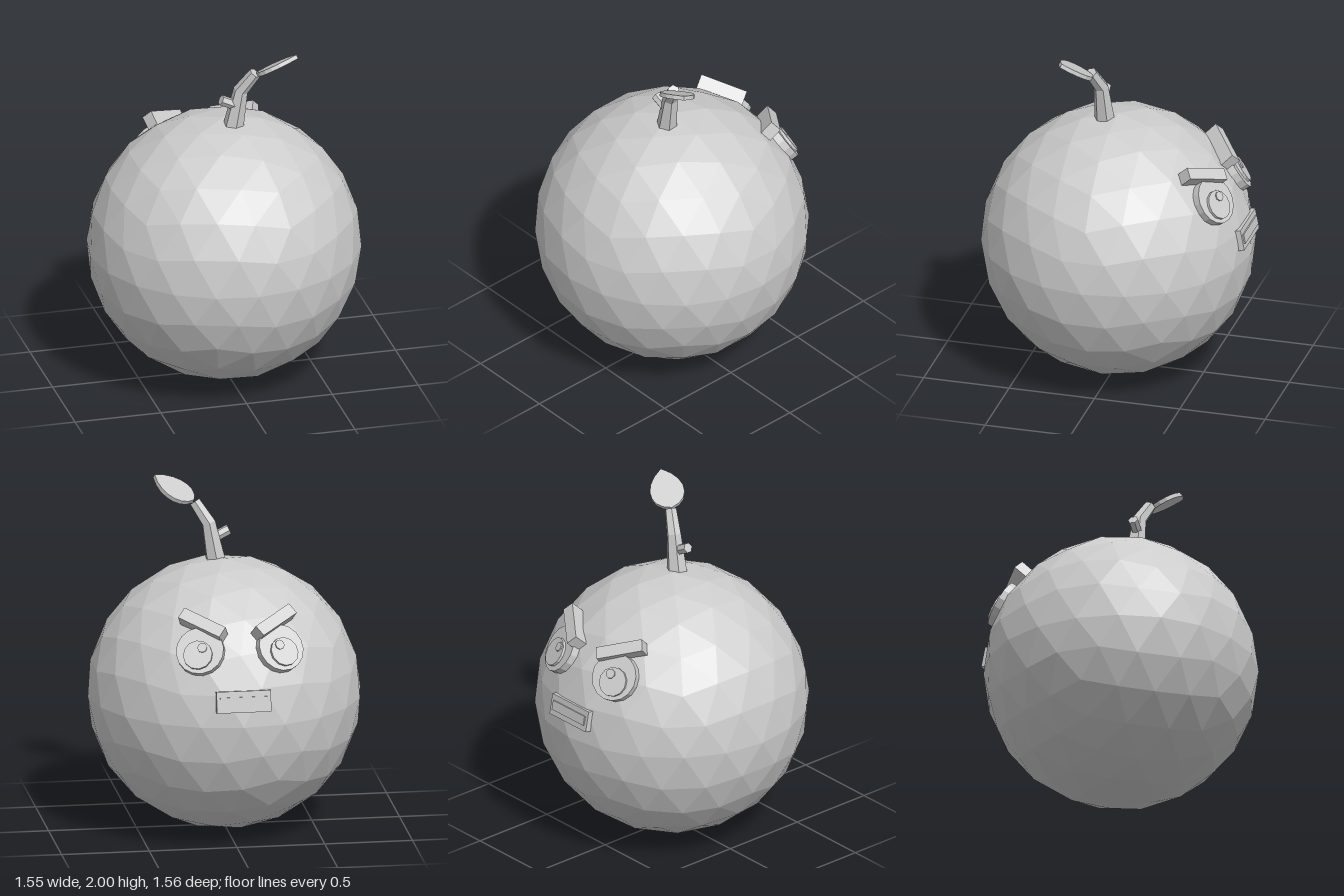
import * as THREE from 'three';

const V = (x, y, z) => new THREE.Vector3(x, y, z);
const R = 0.777; // body radius, also the height of its centre
const grey = new THREE.MeshStandardMaterial({ color: 0xcccccc });
grey.name = 'light grey';

// Faceted mesh: every face gets its own normal
function part(name, geometry, parent) {
  const g = geometry.index ? geometry.toNonIndexed() : geometry;
  g.computeVertexNormals();
  const mesh = new THREE.Mesh(g, grey);
  mesh.name = name;
  parent.add(mesh);
  return mesh;
}

// Group whose z axis is n and whose x axis follows u as closely as possible
function frame(name, position, n, u, parent) {
  const z = n.clone().normalize();
  const x = u.clone().addScaledVector(z, -u.dot(z)).normalize();
  const y = z.clone().cross(x);
  const group = new THREE.Group();
  group.name = name;
  group.quaternion.setFromRotationMatrix(new THREE.Matrix4().makeBasis(x, y, z));
  group.position.copy(position);
  parent.add(group);
  return group;
}

// Frame on the body surface in direction n, at the given distance from the centre
function onBody(name, n, distance, u, parent) {
  const position = n.clone().setLength(distance).add(V(0, R, 0));
  return frame(name, position, n, u, parent);
}

// Disc facing +z, from z0 to z1
function disc(name, radius, z0, z1, sides, x, y, parent) {
  const g = new THREE.CylinderGeometry(radius, radius, z1 - z0, sides);
  g.rotateX(Math.PI / 2).translate(x, y, (z0 + z1) / 2);
  return part(name, g, parent);
}

// Icosahedron with upright poles, split in half twice and pushed to the sphere
function bodyGeometry() {
  const c = 2 / Math.sqrt(5), h = 1 / Math.sqrt(5);
  const points = [0, 1, 0, 0, -1, 0], faces = [];
  for (let i = 0; i < 5; i++) {
    const a = i * Math.PI * 0.4, b = a + Math.PI * 0.2;
    points.push(c * Math.cos(a), h, c * Math.sin(a), c * Math.cos(b), -h, c * Math.sin(b));
    const up = 2 + 2 * i, low = up + 1;
    const up2 = 2 + 2 * ((i + 1) % 5), low2 = up2 + 1;
    faces.push(0, up2, up, up, up2, low, up2, low2, low, low, low2, 1);
  }
  const once = Array.from(new THREE.PolyhedronGeometry(points, faces, 1, 1).attributes.position.array);
  return new THREE.PolyhedronGeometry(once, once.slice(0, once.length / 3).map((_, i) => i), R, 1);
}

// Six-sided tapering branch through a list of [centre, radius]
function branchGeometry(path) {
  const last = path.length - 1;
  const g = new THREE.CylinderGeometry(1, 1, last, 6, last);
  const p = g.attributes.position, v = V(0, 0, 0), up = V(0, 1, 0);
  for (let i = 0; i < p.count; i++) {
    v.fromBufferAttribute(p, i);
    const k = Math.round(v.y + last / 2);
    const [centre, radius] = path[k];
    const dir = path[Math.min(k + 1, last)][0].clone().sub(path[Math.max(k - 1, 0)][0]).normalize();
    v.setY(0).multiplyScalar(radius);
    v.applyQuaternion(new THREE.Quaternion().setFromUnitVectors(up, dir)).add(centre);
    p.setXYZ(i, v.x, v.y, v.z);
  }
  return g;
}

// Pointed leaf along +x, thin in z
function leafGeometry(length, half, depth) {
  const s = new THREE.Shape();
  s.moveTo(0, 0);
  s.bezierCurveTo(length * 0.1, half * 1.25, length * 0.65, half * 1.35, length, 0);
  s.bezierCurveTo(length * 0.65, -half * 1.35, length * 0.1, -half * 1.25, 0, 0);
  const g = new THREE.ExtrudeGeometry(s, { depth, bevelEnabled: false, curveSegments: 7 });
  return g.translate(0, 0, -depth / 2);
}

export function createModel() {
  const model = new THREE.Group();
  model.name = 'faceted fruit';

  part('body', bodyGeometry(), model).position.y = R;

  // Stem with a kink, a cut side twig and one leaf
  part('stem', branchGeometry([
    [V(0.035, 1.52, 0.07), 0.06], [V(0.076, 1.745, 0.08), 0.043], [V(0.15, 1.86, 0.12), 0.035],
  ]), model);
  part('twig', branchGeometry([
    [V(0.05, 1.655, 0.08), 0.03], [V(-0.04, 1.7, 0.085), 0.03],
  ]), model);
  const axis = V(0.21, 0.13, 0.1);
  const normal = axis.clone().cross(V(-0.04, 0.025, 0.09));
  const leaf = frame('leaf', V(0.155, 1.857, 0.135), normal, axis, model);
  part('leafBlade', leafGeometry(axis.length(), 0.1, 0.024), leaf);

  // Face on the -z side
  for (const s of [-1, 1]) {
    const side = s > 0 ? 'left' : 'right';

    // Local x points to -x, so s * x leads towards the middle of the face
    const eye = onBody(side + 'Eye', V(s * 0.23, 0.42, -0.63), 0.8, V(-1, 0, 0), model);
    disc('eyeball', 0.137, -0.06, 0, 16, 0, 0, eye);
    disc('iris', 0.084, -0.01, 0.016, 12, -s * 0.012, -0.028, eye);
    disc('highlight', 0.028, 0.01, 0.024, 8, s * 0.018, 0.008, eye);

    // Slanted brow, lower at its inner end
    const brow = onBody(side + 'Brow', V(s * 0.205, 0.553, -0.56), 0.8, V(s * 0.21, 0.08, 0.155), model);
    part('browBar', new THREE.BoxGeometry(0.275, 0.07, 0.085), brow);
  }

  const mouth = onBody('mouth', V(0, 0.15, -0.765), 0.758, V(-1, 0, 0), model);
  part('lips', new THREE.BoxGeometry(0.31, 0.122, 0.052), mouth);
  part('teeth', new THREE.BoxGeometry(0.27, 0.055, 0.02), mouth).position.z = 0.024;

  return model;
}
